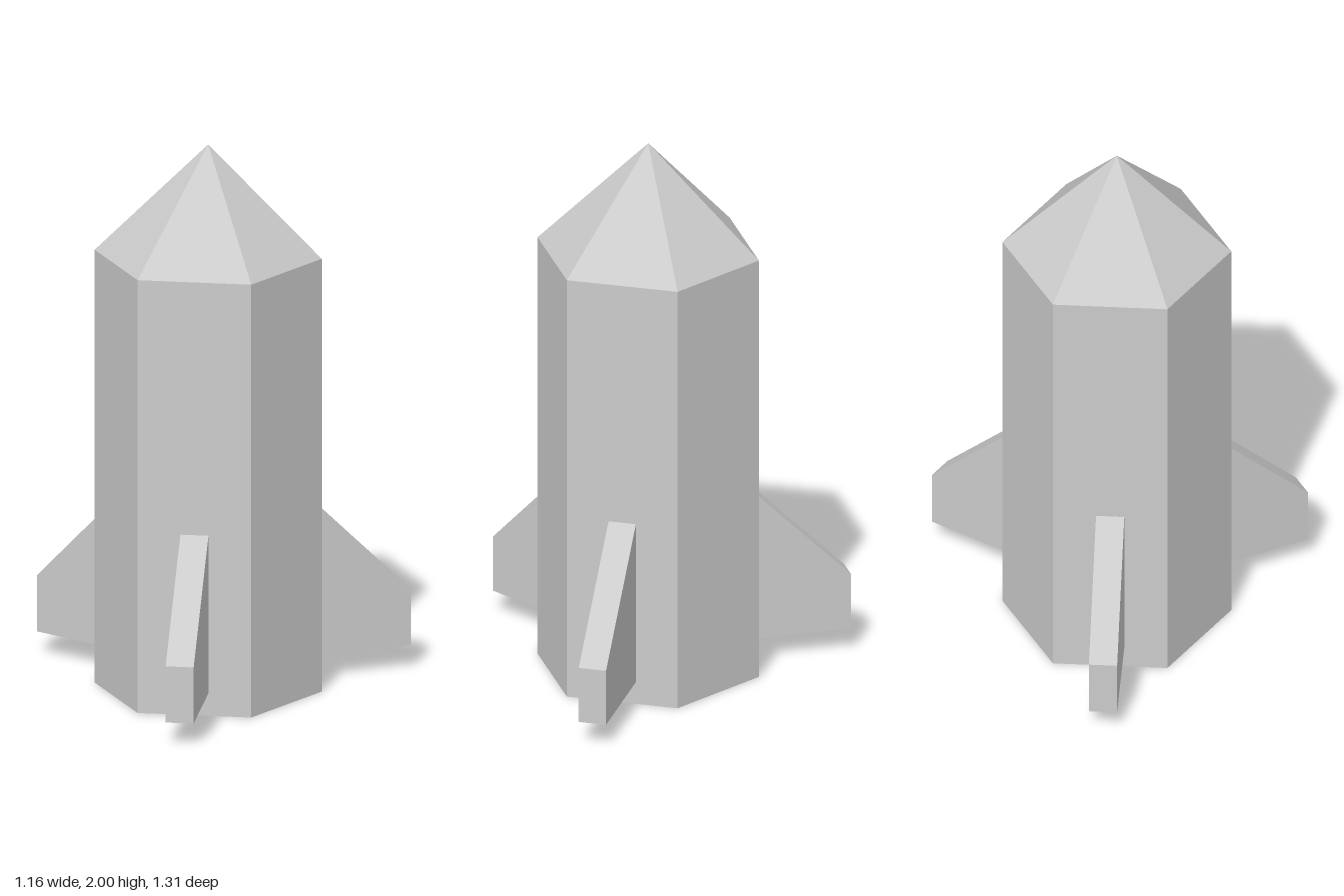
import * as THREE from 'three';

export function createModel() {
  const rocket = new THREE.Group();
  rocket.name = 'rocket';
  const material = new THREE.MeshStandardMaterial({ color: 0xcccccc, flatShading: true });
  const radius = 0.405, bodyHeight = 1.595, axisX = -0.177;

  const add = (name, geometry, y = 0) => {
    const mesh = new THREE.Mesh(geometry, material);
    mesh.name = name;
    mesh.position.set(axisX, y, 0);
    rocket.add(mesh);
    return mesh;
  };

  // Six-sided body and pointed nose
  add('body', new THREE.CylinderGeometry(radius, radius, bodyHeight, 6), bodyHeight / 2);
  const noseHeight = 2 - bodyHeight;
  add('noseCone', new THREE.ConeGeometry(radius, noseHeight, 6, 1, true), bodyHeight + noseHeight / 2);

  // Swept fins, each rooted in the middle of a side face
  const root = 0.345, thickness = 0.1;
  const fin = (name, angle, tip) => {
    const outline = new THREE.Shape([
      new THREE.Vector2(root, 0.083),
      new THREE.Vector2(tip, 0.083),
      new THREE.Vector2(tip, 0.29),
      new THREE.Vector2(root, 0.29 + (tip - root) * 0.99),
    ]);
    const geometry = new THREE.ExtrudeGeometry(outline, { depth: thickness, bevelEnabled: false });
    geometry.translate(0, 0, -thickness / 2);
    add(name, geometry).rotation.y = angle;
  };
  fin('leftFin', 0, 0.753);
  fin('backFin', (2 * Math.PI) / 3, 0.728);
  fin('frontFin', (-2 * Math.PI) / 3, 0.728);

  return rocket;
}
